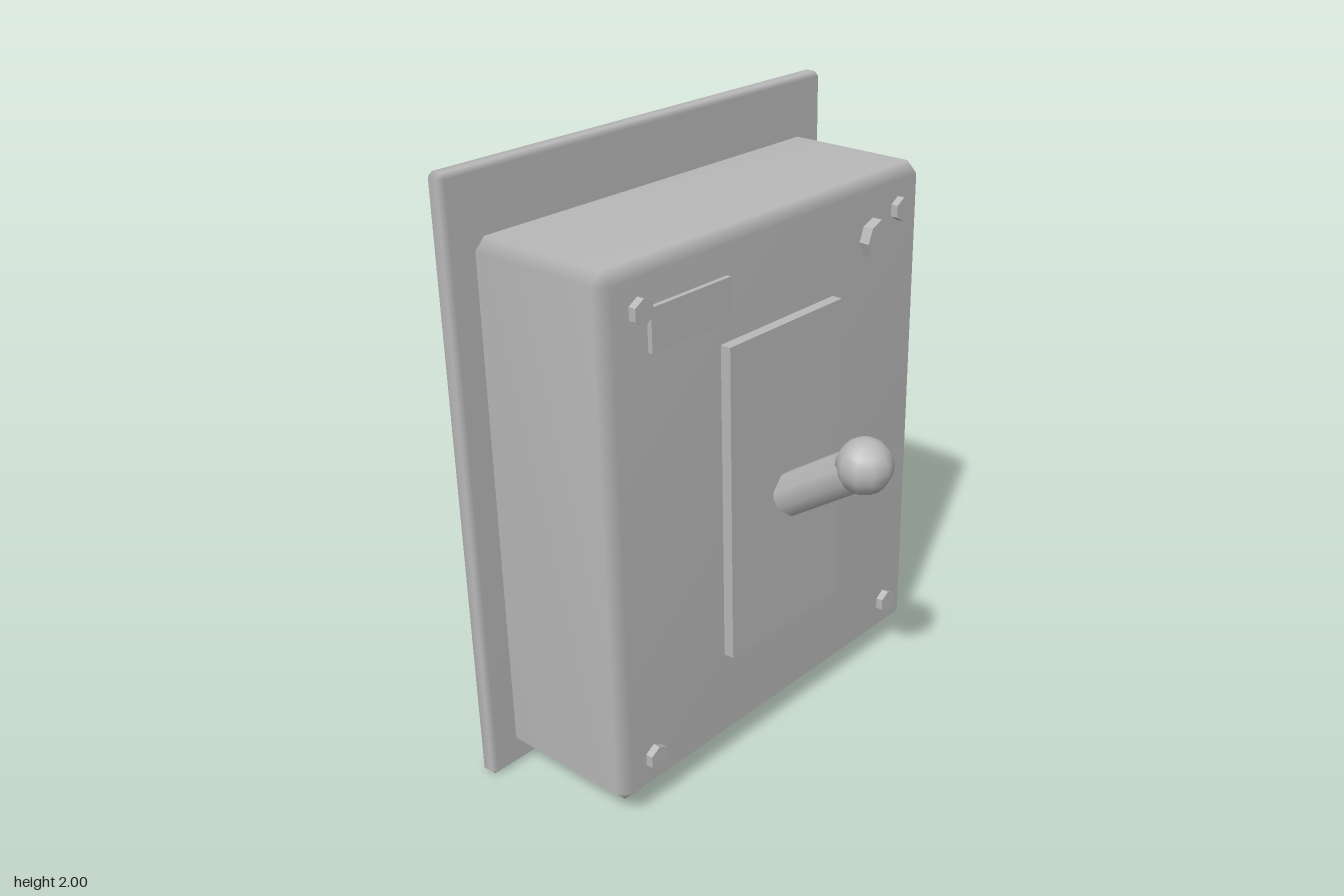
import * as THREE from 'three';
import { mergeVertices } from 'three/addons/utils/BufferGeometryUtils.js';
import { ConvexGeometry } from 'three/addons/geometries/ConvexGeometry.js';

// Box with a one-step bevel on every edge and soft, area-weighted normals
function bevelledBox(w, h, d, r) {
  const points = [];
  for (const x of [-1, 1]) for (const y of [-1, 1]) for (const z of [-1, 1]) {
    const [a, b, c] = [w / 2, h / 2, d / 2];
    points.push(
      new THREE.Vector3(x * a, y * (b - r), z * (c - r)),
      new THREE.Vector3(x * (a - r), y * b, z * (c - r)),
      new THREE.Vector3(x * (a - r), y * (b - r), z * c));
  }
  const hull = new ConvexGeometry(points);
  hull.deleteAttribute('normal');
  const geometry = mergeVertices(hull);
  geometry.computeVertexNormals();
  return geometry;
}

export function createModel() {
  const group = new THREE.Group();
  const grey = new THREE.MeshStandardMaterial({ color: 0xb8b8b8 });
  grey.name = 'light grey';
  const faceted = new THREE.MeshStandardMaterial({ color: 0xb8b8b8, flatShading: true });
  faceted.name = 'light grey faceted';

  const add = (name, geometry, x, y, z, material = grey) => {
    const mesh = new THREE.Mesh(geometry, material);
    mesh.name = name;
    mesh.position.set(x, y, z);
    group.add(mesh);
    return mesh;
  };

  // Wall plate and housing, whose rear bevel is sunk into the plate
  add('wallPlate', bevelledBox(1.66, 2, 0.065, 0.015), 0, 1, -0.4625);
  add('housing', bevelledBox(1.47, 1.73, 0.53, 0.037), 0, 0.935, -0.195);

  // Raised panel and label on the front
  add('switchPanel', new THREE.BoxGeometry(0.53, 1.065, 0.045), 0, 0.9325, 0.0835);
  add('label', new THREE.BoxGeometry(0.33, 0.135, 0.03), -0.4, 1.6025, 0.071);

  // Hexagonal corner bolts
  const bolt = new THREE.CylinderGeometry(0.04, 0.04, 0.04, 6).rotateX(Math.PI / 2);
  for (const x of [-0.6, 0.6]) for (const y of [0.2, 1.67]) {
    add('bolt', bolt, x, y, 0.075, faceted);
  }

  // Indicator lamp
  const lamp = new THREE.CylinderGeometry(0.066, 0.066, 0.05, 8).rotateX(Math.PI / 2);
  add('indicatorLamp', lamp, 0.465, 1.605, 0.081, faceted);

  // Cable glands underneath
  const gland = new THREE.CylinderGeometry(0.078, 0.078, 0.1, 8);
  for (const x of [-0.33, 0.33]) add('cableGland', gland, x, 0.05, -0.195, faceted);

  // Lever slanting up out of the panel
  const foot = new THREE.Vector3(0, 0.885, 0.111);
  const top = new THREE.Vector3(0, 1.08, 0.405);
  const along = top.clone().sub(foot);
  const middle = foot.clone().add(top).multiplyScalar(0.5);
  const rod = new THREE.CylinderGeometry(0.072, 0.072, along.length(), 8).rotateY(Math.PI / 8);
  add('lever', rod, middle.x, middle.y, middle.z)
    .quaternion.setFromUnitVectors(new THREE.Vector3(0, 1, 0), along.normalize());

  // Round knob on the lever
  const knob = new THREE.SphereGeometry(0.09, 10, 10).rotateY(Math.PI / 2);
  add('leverKnob', knob, top.x, top.y, top.z);

  return group;
}
